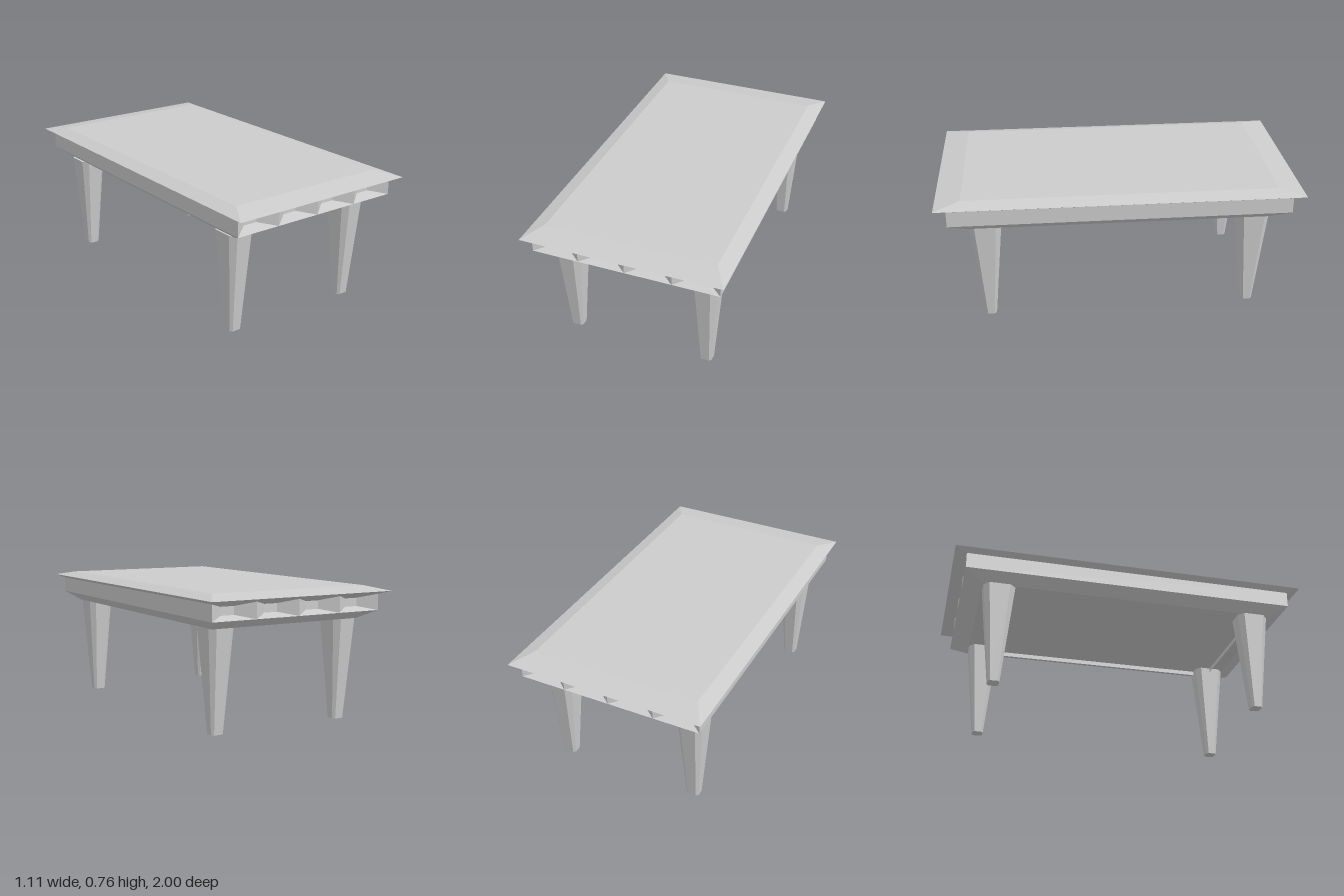
import * as THREE from 'three';

const material = new THREE.MeshStandardMaterial({ color: 0xcccccc, flatShading: true });

// Mesh from flat convex polygons, corners counter-clockwise from outside
function polyMesh(name, polys) {
  const pos = [];
  for (const p of polys)
    for (let i = 1; i < p.length - 1; i++) pos.push(...p[0], ...p[i], ...p[i + 1]);
  const geo = new THREE.BufferGeometry();
  geo.setAttribute('position', new THREE.Float32BufferAttribute(pos, 3));
  geo.computeVertexNormals();
  const mesh = new THREE.Mesh(geo, material);
  mesh.name = name;
  return mesh;
}

// Rectangular ring, optionally with cut corners
function ring(y, hx, hz, cut = 0, cx = 0, cz = 0) {
  const pts = cut
    ? [[-hx + cut, hz], [hx - cut, hz], [hx, hz - cut], [hx, -hz + cut],
       [hx - cut, -hz], [-hx + cut, -hz], [-hx, -hz + cut], [-hx, hz - cut]]
    : [[-hx, hz], [hx, hz], [hx, -hz], [-hx, -hz]];
  return pts.map(([x, z]) => [x + cx, y, z + cz]);
}

// Closed solid through rings listed from bottom to top
function loft(name, rings) {
  const polys = [[...rings[0]].reverse(), rings[rings.length - 1]];
  for (let r = 0; r < rings.length - 1; r++) {
    const a = rings[r], b = rings[r + 1], n = a.length;
    for (let i = 0; i < n; i++) {
      const j = (i + 1) % n;
      polys.push([a[i], a[j], b[j], b[i]]);
    }
  }
  return polyMesh(name, polys);
}

// Row of four tapered pockets across one short end
function pocketRow(name) {
  const y0 = 0.625, y1 = 0.713, z = 0.935, depth = 0.07, width = 0.26;
  const polys = [];
  for (let c = 0; c < 4; c++) {
    const x0 = -0.52 + c * width, x1 = x0 + width;
    const outer = [[x0, y0, z], [x1, y0, z], [x1, y1, z], [x0, y1, z]];
    const inner = [[x0 + 0.09, 0.645, z - depth], [x1 - 0.09, 0.645, z - depth],
                   [x1 - 0.09, 0.69, z - depth], [x0 + 0.09, 0.69, z - depth]];
    polys.push(inner);
    for (let i = 0; i < 4; i++) {
      const j = (i + 1) % 4;
      polys.push([outer[i], outer[j], inner[j], inner[i]]);
    }
  }
  return polyMesh(name, polys);
}

export function createModel() {
  const model = new THREE.Group();
  model.name = 'table';

  // Bevelled top and the moulding below the frieze
  model.add(loft('tableTop', [ring(0.713, 0.52, 0.935), ring(0.732, 0.556, 1), ring(0.756, 0.475, 0.86)]));
  model.add(loft('lowerMoulding', [ring(0.575, 0.457, 0.83), ring(0.625, 0.52, 0.935)]));

  // Frieze: pockets on the ends, plain long sides
  const front = pocketRow('frontPockets');
  const back = pocketRow('backPockets');
  back.rotation.y = Math.PI;
  model.add(front, back);
  for (const s of [1, -1]) {
    const side = polyMesh(s > 0 ? 'leftFrieze' : 'rightFrieze', [
      [[0.52, 0.625, 0.935], [0.52, 0.625, -0.935], [0.52, 0.713, -0.935], [0.52, 0.713, 0.935]],
    ]);
    if (s < 0) side.rotation.y = Math.PI;
    model.add(side);
  }

  // Thin inward-facing skirt between the leg centres
  const low = ring(0.55, 0.385, 0.74), high = ring(0.575, 0.385, 0.74);
  model.add(polyMesh('skirt', low.map((p, i) => {
    const j = (i + 1) % 4;
    return [low[j], p, high[i], high[j]];
  })));

  // Tapered legs with cut corners, slightly uneven feet
  const legs = [
    ['frontLeftLeg', 0.384, 0.74, 0],
    ['frontRightLeg', -0.394, 0.74, 0.01],
    ['backLeftLeg', 0.384, -0.74, 0.015],
    ['backRightLeg', -0.4, -0.74, 0.01],
  ];
  for (const [name, x, z, foot] of legs)
    model.add(loft(name, [ring(foot, 0.036, 0.031, 0.012, x, z), ring(0.576, 0.074, 0.088, 0.03, x, z)]));

  return model;
}
